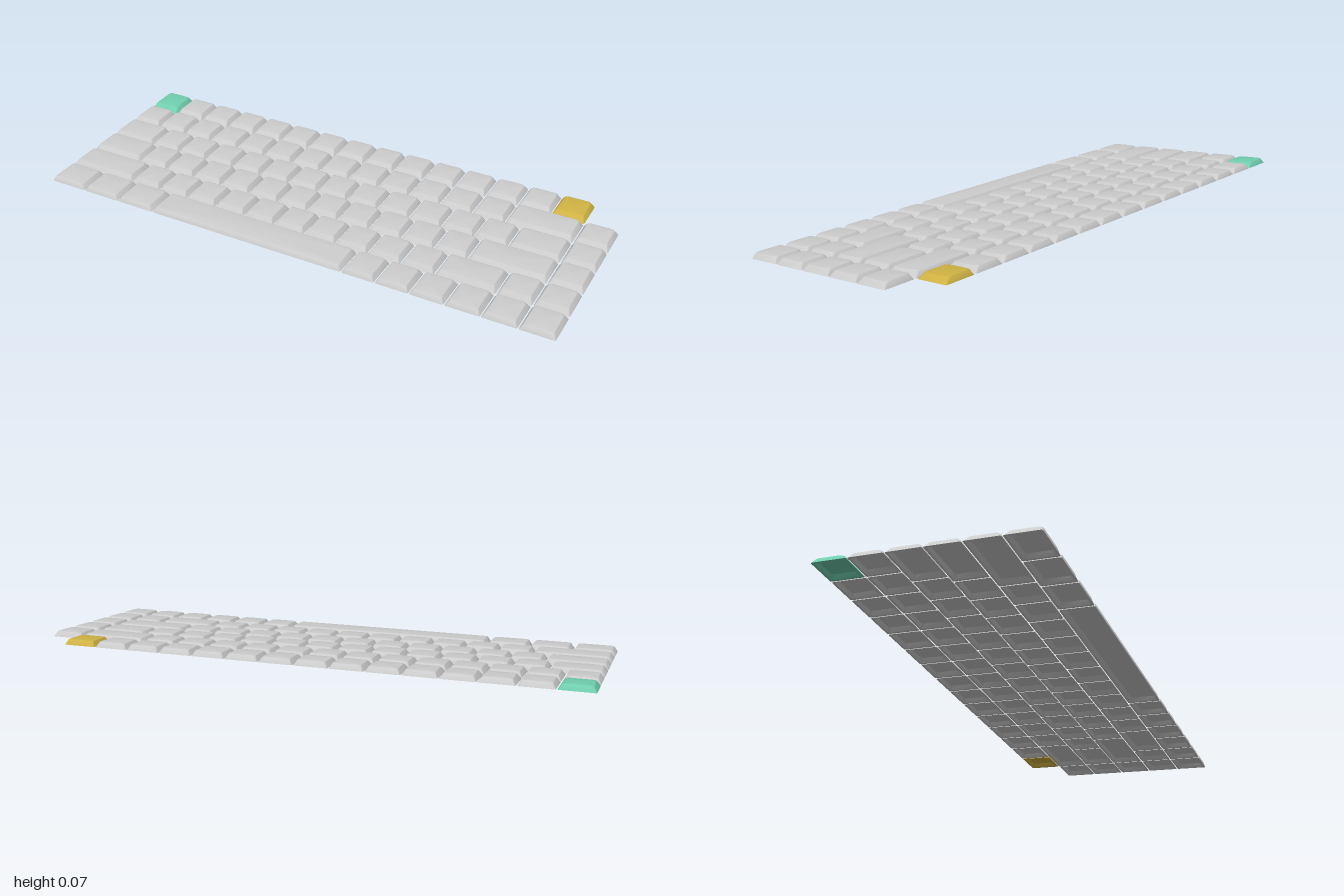
import * as THREE from 'three';
import { toCreasedNormals } from 'three/addons/utils/BufferGeometryUtils.js';

const GAP = 0.004;
const UNIT = (2 + GAP) / 16; // pitch of one key
const TILT = 0.0655;
const HEIGHT = 0.0205;

// Rounded rectangle in the xz plane at height y
function ring(x0, x1, z0, z1, y, r) {
  const pts = [];
  const corners = [[x1 - r, z1 - r], [x0 + r, z1 - r], [x0 + r, z0 + r], [x1 - r, z0 + r]];
  corners.forEach(([cx, cz], c) => {
    for (let i = 0; i <= 4; i++) {
      const a = (c + i / 4) * Math.PI / 2;
      pts.push([cx + r * Math.cos(a), y, cz + r * Math.sin(a)]);
    }
  });
  return pts;
}

// Hollow keycap: ceiling, inner wall, rim, outer wall, soft edge and top
function keycap(width, front, back) {
  const w = width / 2, d = (UNIT - GAP) / 2, side = 0.012;
  const inset = (s, f, b, y, r) => ring(-w + s, w - s, -d + b, d - f, y, r);
  const rings = [
    inset(side + 0.006, front + 0.006, back + 0.006, HEIGHT - 0.006, 0.01),
    inset(0.008, 0.008, 0.008, 0, 0.005),
    inset(0, 0, 0, 0, 0.006),
    inset(side - 0.002, front - 0.001, back - 0.001, HEIGHT - 0.003, 0.012),
    inset(side, front + 0.001, back + 0.001, HEIGHT - 0.0007, 0.013),
    inset(side + 0.004, front + 0.004, back + 0.004, HEIGHT, 0.012),
  ];
  const n = rings[0].length;
  const centre = y => Array(n).fill([0, y, 0]);
  rings.unshift(centre(HEIGHT - 0.006));
  rings.push(centre(HEIGHT));

  const pos = [];
  for (let k = 0; k < rings.length - 1; k++) {
    const a = rings[k], b = rings[k + 1];
    for (let i = 0; i < n; i++) {
      const j = (i + 1) % n;
      if (k > 0) pos.push(...a[i], ...b[i], ...a[j]);
      if (k < rings.length - 2) pos.push(...a[j], ...b[i], ...b[j]);
    }
  }
  const geo = new THREE.BufferGeometry();
  geo.setAttribute('position', new THREE.Float32BufferAttribute(pos, 3));
  return toCreasedNormals(geo, 0.6);
}

export function createModel() {
  const grey = new THREE.MeshStandardMaterial({ color: 0xcccccc });
  grey.name = 'light grey';
  const mint = new THREE.MeshStandardMaterial({ color: 0x70ceae });
  mint.name = 'mint green';
  const gold = new THREE.MeshStandardMaterial({ color: 0xd0b344 });
  gold.name = 'gold';

  const ones = n => Array(n).fill(1);
  // Rows from back to front: key widths in units, front and back slant
  const rows = [
    { name: 'functionRow', keys: ones(15), slant: [0.016, 0.006] },
    { name: 'numberRow', keys: [...ones(13), 2, 1], slant: [0.014, 0.006] },
    { name: 'upperLetterRow', keys: [1.5, ...ones(12), 1.5, 1], slant: [0.012, 0.007] },
    { name: 'homeRow', keys: [1.75, ...ones(11), 2.25, 1], slant: [0.013, 0.006] },
    { name: 'lowerLetterRow', keys: [2.25, ...ones(10), 1.75, 1, 1], slant: [0.011, 0.009] },
    { name: 'bottomRow', keys: [1.25, 1.25, 1.25, 6.25, ...ones(6)], slant: [0.006, 0.01] },
  ];

  const keyboard = new THREE.Group();
  keyboard.name = 'keycaps';
  rows.forEach((row, r) => {
    const group = new THREE.Group();
    group.name = row.name;
    group.position.z = (r - 2.5) * UNIT;
    const cache = {};
    let x = -8;
    row.keys.forEach((u, i) => {
      cache[u] ??= keycap(u * UNIT - GAP, ...row.slant);
      const first = r === 0 && i === 0, last = r === 0 && i === 14;
      const key = new THREE.Mesh(cache[u], first ? mint : last ? gold : grey);
      key.name = first ? 'cornerKey' : last ? 'accentKey' : u > 6 ? 'spaceBar' : 'key';
      key.position.x = (x + u / 2) * UNIT;
      x += u;
      group.add(key);
    });
    keyboard.add(group);
  });

  // Tilt towards the front, resting on the front edge
  keyboard.rotation.x = TILT;
  keyboard.position.y = (3 * UNIT - GAP / 2) * Math.sin(TILT);
  const model = new THREE.Group();
  model.name = 'keyboard';
  model.add(keyboard);
  return model;
}
